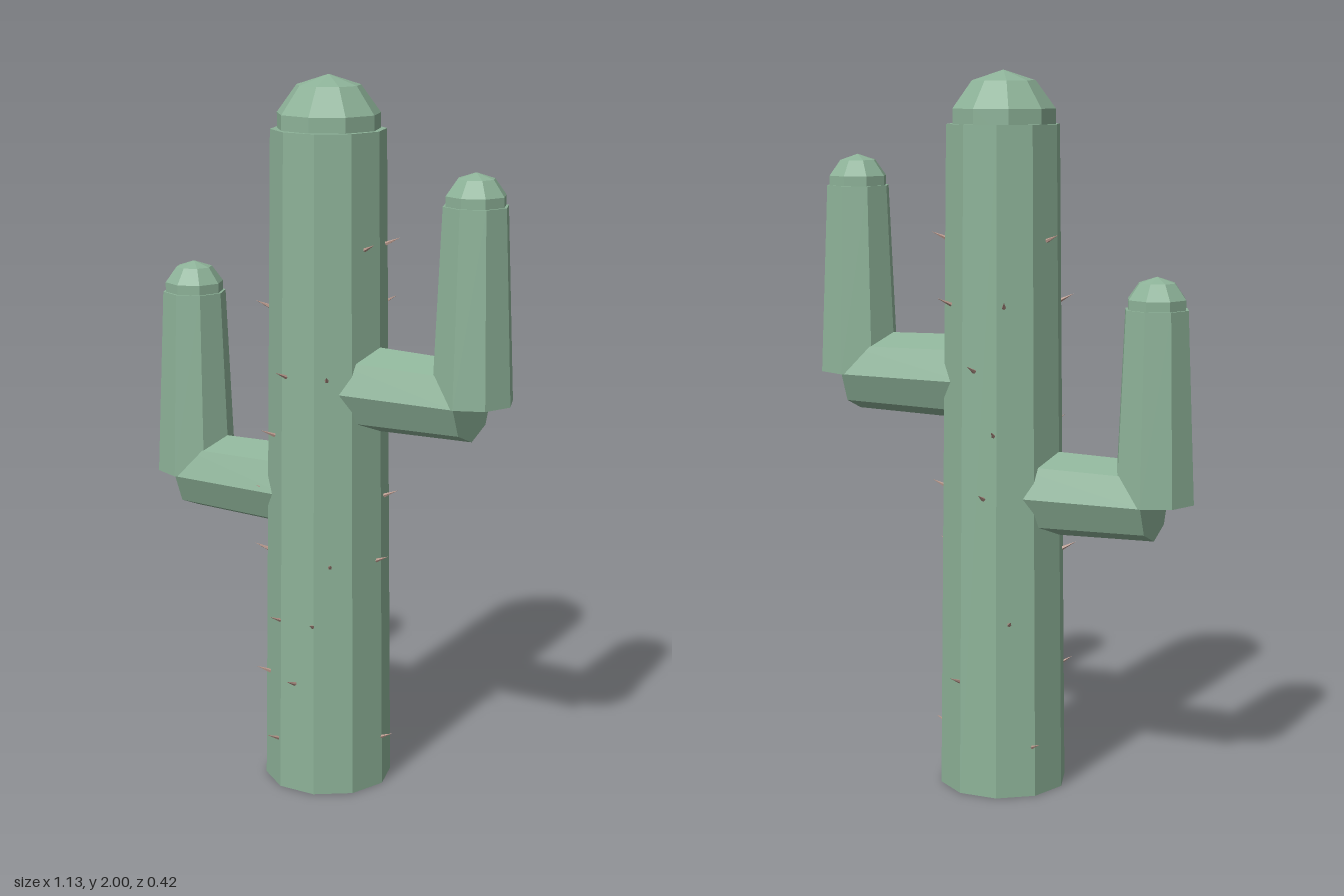
import * as THREE from 'three';

export function createModel() {
  const green = new THREE.MeshStandardMaterial({ color: 0x8db298 });
  green.name = 'cactusGreen';
  const tan = new THREE.MeshStandardMaterial({ color: 0xb8988c });
  tan.name = 'spineTan';

  const model = new THREE.Group();
  model.name = 'cactus';

  const add = (parent, name, geometry, material, x = 0, y = 0, z = 0) => {
    // Split vertices so every facet keeps a hard edge
    const flat = geometry.toNonIndexed();
    flat.computeVertexNormals();
    const mesh = new THREE.Mesh(flat, material);
    mesh.name = name;
    mesh.position.set(x, y, z);
    parent.add(mesh);
    return mesh;
  };

  // Trunk: tapered decagon with corners on the x axis, and a faceted dome
  const trunkHeight = 1.855, baseRadius = 0.18, topRadius = 0.158;
  const trunk = new THREE.CylinderGeometry(topRadius, baseRadius, trunkHeight, 10);
  trunk.rotateY(Math.PI / 2);
  add(model, 'trunk', trunk, green, 0, trunkHeight / 2);
  const dome = new THREE.SphereGeometry(0.15, 9, 5);
  dome.rotateY(Math.PI);
  add(model, 'trunkDome', dome, green, 0, 1.85);

  // Arms: a level elbow piece, an upright tapered piece and a small dome
  const addArm = (name, side, y) => {
    const arm = new THREE.Group();
    arm.name = name;
    model.add(arm);
    const reach = 0.45, rise = 0.525;
    const elbow = new THREE.CylinderGeometry(0.11, 0.12, reach - 0.05, 8);
    elbow.rotateZ(-side * Math.PI / 2);
    add(arm, 'elbow', elbow, green, side * (reach + 0.05) / 2, y);
    add(arm, 'upright', new THREE.CylinderGeometry(0.09, 0.113, rise, 8), green, side * reach, y + rise / 2);
    add(arm, 'armDome', new THREE.SphereGeometry(0.087, 8, 5), green, side * reach, y + rise);
  };
  addArm('leftArm', 1, 1.155);
  addArm('rightArm', -1, 0.845);

  // Spines: rings of thin cones tilted slightly upward (height, angles from +x toward +z)
  const rings = [
    [0.14, [0, 113, 218]],
    [0.32, [92, 135, 290]],
    [0.495, [73, 110, 240]],
    [0.67, [5, 57, 150]],
    [0.845, [-12, 145, 265]],
    [1.02, [125, 255]],
    [1.195, [60, 104, 275]],
    [1.37, [145, 245, 310]],
    [1.545, [-25, 20, 197]],
  ];
  const spines = new THREE.Group();
  spines.name = 'spines';
  model.add(spines);
  const up = new THREE.Vector3(0, 1, 0);
  const cone = new THREE.ConeGeometry(0.006, 0.045, 5);
  cone.translate(0, 0.0225, 0);
  for (const [y, angles] of rings) {
    const radius = THREE.MathUtils.lerp(baseRadius, topRadius, y / trunkHeight) * 0.965;
    for (const degrees of angles) {
      const a = THREE.MathUtils.degToRad(degrees);
      const direction = new THREE.Vector3(Math.cos(a), 0.45, Math.sin(a)).normalize();
      const spine = add(spines, 'spine', cone, tan, Math.cos(a) * radius, y, Math.sin(a) * radius);
      spine.quaternion.setFromUnitVectors(up, direction);
    }
  }

  return model;
}
